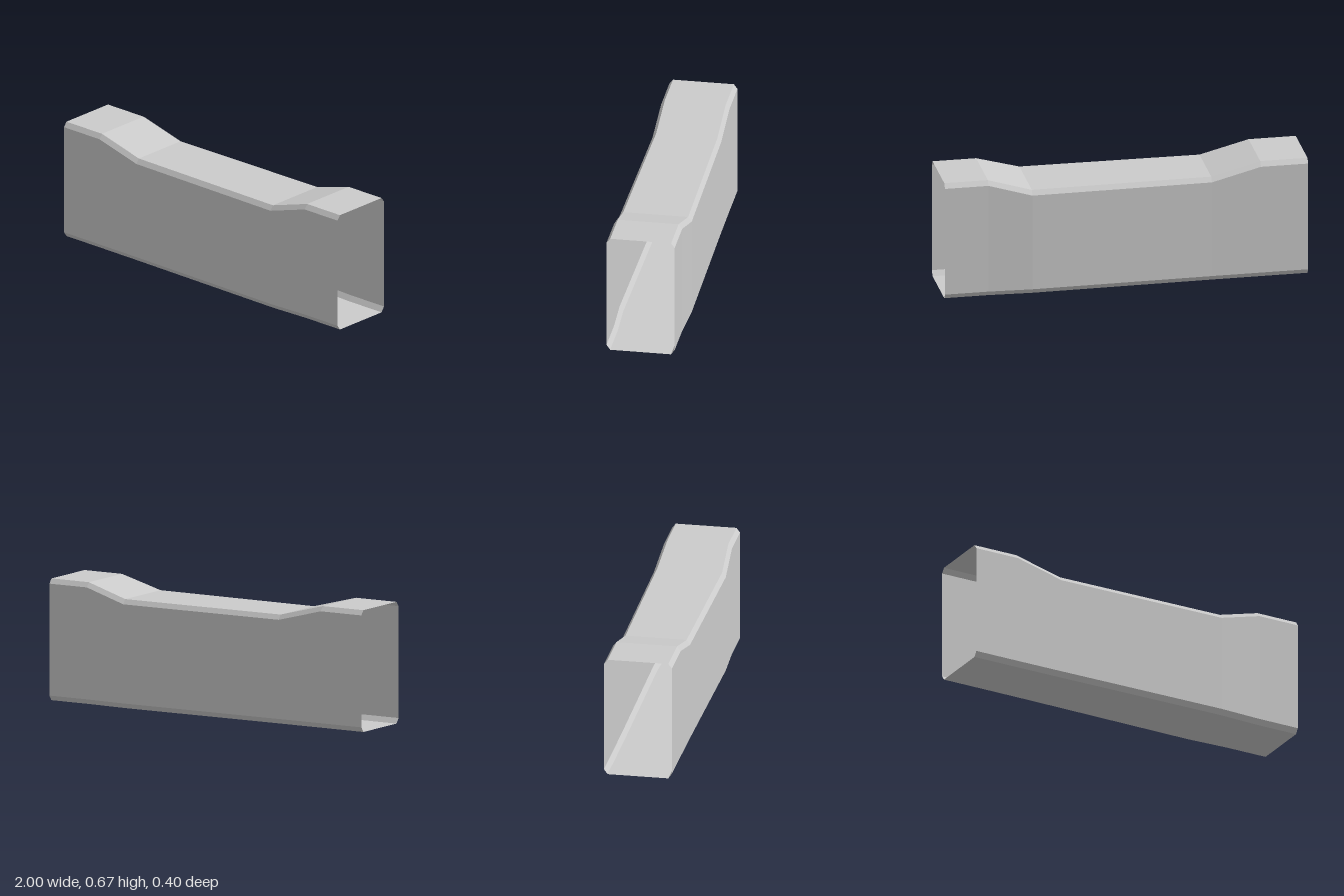
import * as THREE from 'three';

// Stations along the length: [x, half width, top height]
const stations = [
  [-1, 0.187, 0.667],
  [-0.74, 0.187, 0.667],
  [-0.47, 0.188, 0.597],
  [0.52, 0.198, 0.597],
  [0.76, 0.187, 0.667],
  [1, 0.187, 0.667],
];

// Chamfered rectangular cross-section, running from the top towards +z and round
function section([x, w, h]) {
  const inset = 0.02, drop = 0.026, rise = 0.028;
  const half = [[w - inset, h], [w, h - drop], [w, rise], [w - inset, 0]];
  const mirrored = half.map(([z, y]) => [-z, y]).reverse();
  return [...half, ...mirrored].map(([z, y]) => new THREE.Vector3(x, y, z));
}

// Skin the sections with flat panels, leaving both ends open
function loft(rings) {
  const points = [];
  for (let i = 0; i < rings.length - 1; i++) {
    const n = rings[i].length;
    for (let j = 0; j < n; j++) {
      const k = (j + 1) % n;
      const a = rings[i][j], b = rings[i + 1][j];
      const c = rings[i + 1][k], d = rings[i][k];
      points.push(a, d, c, a, c, b);
    }
  }
  const geometry = new THREE.BufferGeometry().setFromPoints(points);
  geometry.computeVertexNormals();
  return geometry;
}

export function createModel() {
  const group = new THREE.Group();
  group.name = 'openSleeve';
  const material = new THREE.MeshStandardMaterial({
    color: 0xcccccc, flatShading: true, side: THREE.DoubleSide,
  });

  // Thin open-ended sleeve with a dipped top and slightly bulging sides
  const sleeve = new THREE.Mesh(loft(stations.map(section)), material);
  sleeve.name = 'sleeveShell';
  group.add(sleeve);
  return group;
}
